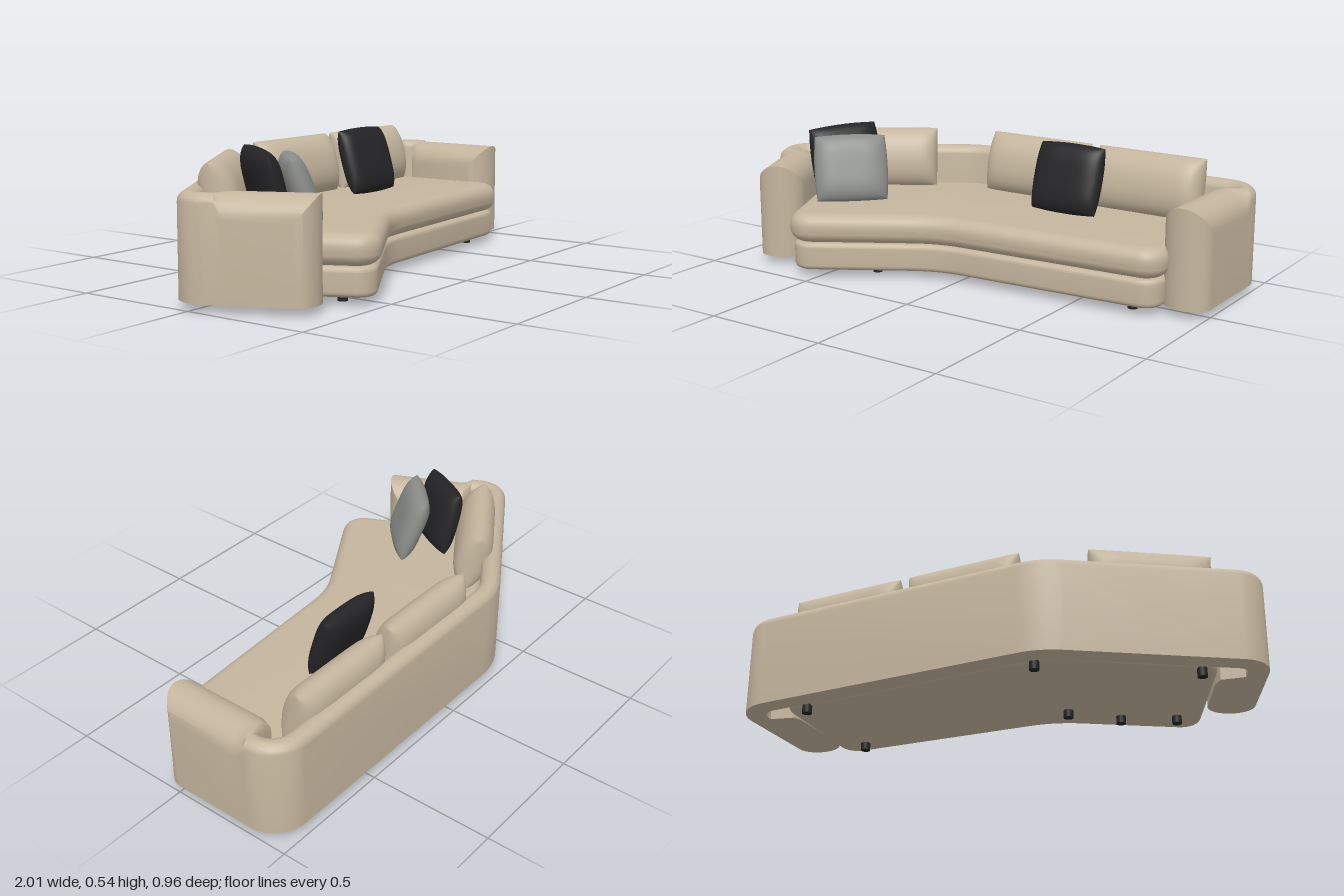
import * as THREE from 'three';
import { mergeVertices, toCreasedNormals } from 'three/addons/utils/BufferGeometryUtils.js';

const fabric = new THREE.MeshStandardMaterial({ color: 0xc4b59d });
const black = new THREE.MeshStandardMaterial({ color: 0x242426 });
const grey = new THREE.MeshStandardMaterial({ color: 0x8a8d8a });

// Rounds the corners of a plan polyline of [x, z, radius, width]
function fillet(points, closed) {
  const out = [];
  const n = points.length;
  points.forEach(([x, z, r, w], i) => {
    const p = new THREE.Vector2(x, z);
    if (!r || (!closed && (i === 0 || i === n - 1))) {
      out.push({ p, w });
      return;
    }
    const toward = (k) => new THREE.Vector2(points[k % n][0], points[k % n][1]).sub(p).normalize();
    const d1 = toward(i + n - 1), d2 = toward(i + 1);
    const half = Math.acos(d1.dot(d2)) / 2;
    const centre = p.clone().addScaledVector(d1.clone().add(d2).normalize(), r / Math.sin(half));
    const start = p.clone().addScaledVector(d1, r / Math.tan(half)).sub(centre);
    const sweep = (Math.PI - 2 * half) * -Math.sign(d1.cross(d2));
    for (let s = 0; s <= 10; s++) {
      const q = start.clone().rotateAround(new THREE.Vector2(), sweep * s / 10).add(centre);
      out.push({ p: q, w });
    }
  });
  return out;
}

// Back and arms: one round-topped wall swept along the outer edge
function wallGeometry(path, bottom, top) {
  const M = 16, pos = [], idx = [], ring = 2 * (M + 1), last = path.length - 1;
  path.forEach(({ p, w }, i) => {
    const t = new THREE.Vector2();
    if (i > 0) t.add(p.clone().sub(path[i - 1].p).normalize());
    if (i < last) t.add(path[i + 1].p.clone().sub(p).normalize());
    t.normalize();
    const end = i === 0 ? -0.8 : i === last ? 0.8 : 0;
    for (let j = 0; j < ring; j++) {
      const a = Math.PI * (j <= M ? j : ring - 1 - j) / M;
      const d = w / 2 * (1 - Math.cos(a));
      const e = end * w / 2 * Math.sin(a);
      const y = j <= M ? top - w / 2 * (1 - Math.sin(a)) : bottom;
      pos.push(p.x + t.y * d + t.x * e, y, p.y - t.x * d + t.y * e);
    }
  });
  for (let i = 0; i < last; i++) {
    for (let j = 0; j < ring; j++) {
      const k = (j + 1) % ring;
      const a = i * ring + j, b = i * ring + k, c = a + ring, d = b + ring;
      idx.push(a, c, b, b, c, d);
    }
  }
  // rounded upright ends of the arms
  const o = last * ring;
  for (let j = 0; j < M; j++) {
    const k = j + 1, jb = ring - 1 - j, kb = jb - 1;
    idx.push(j, k, jb, k, kb, jb);
    idx.push(o + j, o + jb, o + k, o + k, o + jb, o + kb);
  }
  const g = new THREE.BufferGeometry();
  g.setAttribute('position', new THREE.Float32BufferAttribute(pos, 3));
  g.setIndex(idx);
  return toCreasedNormals(g, 0.6);
}

// Horizontal slab with rounded rim from a plan outline
function slab(outline, bottom, top, bevel, inset) {
  const g = new THREE.ExtrudeGeometry(new THREE.Shape(outline), {
    depth: top - bottom - 2 * bevel, bevelThickness: bevel, bevelSize: bevel,
    bevelOffset: -bevel - inset, bevelSegments: 8,
  });
  g.rotateX(Math.PI / 2).translate(0, top - bevel, 0);
  return toCreasedNormals(g, 0.6);
}

// Stuffed cushion: a box grid puffed in the middle and closing at its rim
function cushion(w, h, t, nu, nv, bulge) {
  let g = new THREE.BoxGeometry(2, 2, 2, 24, 24, 1);
  g.deleteAttribute('uv');
  g.deleteAttribute('normal');
  const p = g.attributes.position;
  for (let i = 0; i < p.count; i++) {
    const u = Math.sin(p.getX(i) * Math.PI / 2), v = Math.sin(p.getY(i) * Math.PI / 2);
    const puff = Math.sqrt(Math.max(0, (1 - Math.abs(u) ** nu) * (1 - Math.abs(v) ** nv)));
    p.setXYZ(i,
      w / 2 * u * (1 - bulge * v * v),
      h / 2 * v * (1 - bulge * u * u),
      t / 2 * p.getZ(i) * puff);
  }
  g = mergeVertices(g, 1e-5);
  g.computeVertexNormals();
  return g;
}

export function createModel() {
  const group = new THREE.Group();
  const add = (name, geometry, material, position = [0, 0, 0], rotation = [0, 0, 0]) => {
    const mesh = new THREE.Mesh(geometry, material);
    mesh.name = name;
    mesh.position.set(...position);
    mesh.rotation.set(...rotation, 'YXZ');
    group.add(mesh);
  };

  // Wall: thick arms at both ends, thin back between
  const wallPath = fillet([
    [1.0, 0.0, 0, 0.185], [1.0, -0.27, 0, 0.185], [1.0, -0.305, 0, 0.17], [1.0, -0.33, 0, 0.08],
    [1.0, -0.48, 0.14, 0.08], [-0.313, -0.48, 0.3, 0.08], [-1.04, -0.03, 0.12, 0.08],
    [-0.979, 0.102, 0, 0.08], [-0.968, 0.125, 0, 0.17], [-0.952, 0.16, 0, 0.185],
    [-0.86, 0.355, 0, 0.185],
  ], false);
  add('backAndArms', wallGeometry(wallPath, 0.03, 0.41), fabric);

  // Seat: base and bullnosed cushion share one bent outline
  const outline = fillet([
    [0.86, 0.152, 0.09], [-0.08, 0.208, 0.4], [-0.59, 0.515, 0.09],
    [-0.86, -0.05, 0.08], [-0.3, -0.41, 0.2], [0.83, -0.41, 0.08],
  ], true).map((q) => q.p);
  add('seatBase', slab(outline, 0.03, 0.14, 0.02, 0.015), fabric);
  add('seatCushion', slab(outline, 0.14, 0.257, 0.05, 0), fabric);

  // Back cushions
  const back = cushion(0.47, 0.25, 0.15, 8, 2.2, 0);
  [[0.042, -0.355, 0], [0.55, -0.355, 0], [-0.62, -0.15, 0.563]].forEach(([x, z, turn]) => {
    add('backCushion', back, fabric, [x, 0.37, z], [-0.25, turn, 0]);
  });

  // Throw pillows
  const pillow = cushion(0.3, 0.28, 0.1, 4, 4, 0.05);
  add('throwPillow', pillow, black, [0.29, 0.39, -0.175], [-0.3, 0, 0]);
  add('throwPillow', pillow, black, [-0.65, 0.4, 0.055], [-0.25, 1.0, 0.05]);
  add('throwPillow', pillow, grey, [-0.555, 0.382, 0.14], [-0.36, 0.76, 0]);

  // Feet
  const foot = new THREE.CylinderGeometry(0.019, 0.019, 0.035, 20);
  [
    [0.715, 0.06], [0.715, -0.38], [-0.25, -0.38], [-0.78, -0.065],
    [-0.185, 0.09], [-0.35, 0.233], [-0.55, 0.325],
  ].forEach(([x, z]) => add('foot', foot, black, [x, 0.0175, z]));

  return group;
}
